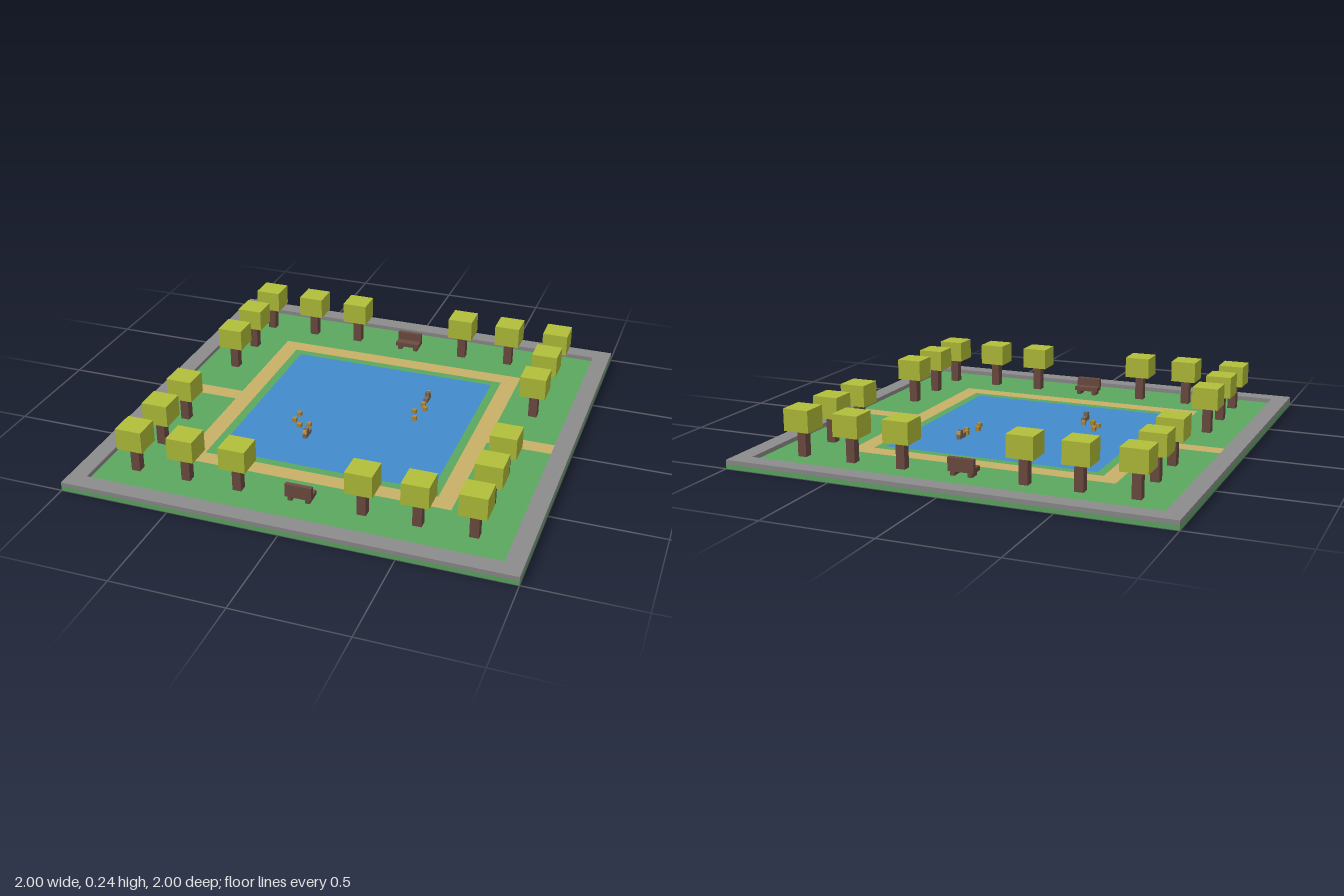
import * as THREE from 'three';

const paint = (name, color) => {
  const m = new THREE.MeshStandardMaterial({ color });
  m.name = name;
  return m;
};

export function createModel() {
  const grass = paint('grass', 0x5ca860);
  const sand = paint('sand', 0xc8b068);
  const water = paint('water', 0x428ccc);
  const stone = paint('stone', 0x8c8c8c);
  const wood = paint('wood', 0x6d4c41);
  const leaf = paint('leaf', 0xb2bf3a);
  const feather = paint('feather', 0x7d6a58);
  const down = paint('down', 0xb08a3c);
  const bill = paint('bill', 0xd0a050);

  const park = new THREE.Group();
  park.name = 'pondPark';

  const group = (name, x = 0, y = 0, z = 0) => {
    const g = new THREE.Group();
    g.name = name;
    g.position.set(x, y, z);
    park.add(g);
    return g;
  };
  // Box centred on x and z, standing on y
  const box = (parent, name, material, w, h, d, x, y, z) => {
    const mesh = new THREE.Mesh(new THREE.BoxGeometry(w, h, d), material);
    mesh.name = name;
    mesh.position.set(x, y + h / 2, z);
    parent.add(mesh);
  };

  // Flat slabs cut from outlines
  const square = (r) => [[-r, -r], [r, -r], [r, r], [-r, r]];
  const slab = (name, material, outline, hole, y) => {
    const points = (list) => list.map(([x, z]) => new THREE.Vector2(x, z));
    const shape = new THREE.Shape(points(outline));
    shape.holes.push(new THREE.Path(points(hole)));
    const geometry = new THREE.ExtrudeGeometry(shape, { depth: 0.02, bevelEnabled: false });
    const mesh = new THREE.Mesh(geometry.rotateX(-Math.PI / 2), material);
    mesh.name = name;
    mesh.position.y = y;
    park.add(mesh);
  };

  // Path loop with one arm on each side
  const pathOutline = [
    [-0.62, -0.62], [0.62, -0.62], [0.62, -0.04], [0.92, -0.04], [0.92, 0.04], [0.62, 0.04],
    [0.62, 0.62], [-0.62, 0.62], [-0.62, 0.04], [-0.92, 0.04], [-0.92, -0.04], [-0.62, -0.04],
  ];
  slab('lawn', grass, square(1), pathOutline, 0);
  slab('path', sand, pathOutline, square(0.54), 0);
  slab('pondBank', grass, square(0.54), square(0.5), 0);
  slab('curb', stone, square(1), square(0.92), 0.02);
  box(park, 'pond', water, 1, 0.02, 1, 0, 0, 0);

  // Trees around the lawn, leaving the path arms and benches clear
  const rows = [-0.76, -0.52, -0.28, 0.28, 0.52, 0.76];
  for (const x of rows) {
    for (const z of rows) {
      if (Math.max(Math.abs(x), Math.abs(z)) < 0.7) continue;
      const tree = group('tree', x, 0.02, z);
      box(tree, 'trunk', wood, 0.04, 0.12, 0.04, 0, 0, 0);
      box(tree, 'crown', leaf, 0.12, 0.1, 0.12, 0, 0.12, 0);
    }
  }

  // Benches facing the pond
  for (const side of [-1, 1]) {
    const bench = group('bench', 0, 0.02, side * 0.75);
    if (side > 0) bench.rotation.y = Math.PI;
    box(bench, 'seat', wood, 0.12, 0.02, 0.06, 0, 0.02, 0);
    box(bench, 'backrest', wood, 0.12, 0.04, 0.02, 0, 0.04, -0.02);
    for (const x of [-0.04, 0.04]) box(bench, 'leg', wood, 0.02, 0.02, 0.05, x, 0, 0);
  }

  // Ducks, each followed by four ducklings
  const families = [
    { x: -0.17, z: 0.25, turn: 0, young: [[-0.19, 0.17], [-0.23, 0.19], [-0.27, 0.15], [-0.27, 0.09]] },
    { x: 0.25, z: -0.25, turn: Math.PI, young: [[0.25, -0.19], [0.27, -0.15], [0.23, -0.11], [0.25, -0.05]] },
  ];
  for (const { x, z, turn, young } of families) {
    const duck = group('duck', x, 0.02, z);
    duck.rotation.y = turn;
    box(duck, 'body', feather, 0.02, 0.02, 0.06, 0, 0, 0);
    box(duck, 'head', feather, 0.02, 0.02, 0.02, 0, 0.02, 0.01);
    box(duck, 'bill', bill, 0.018, 0.016, 0.008, 0, 0.022, 0.024);
    for (const [dx, dz] of young) {
      box(group('duckling', dx, 0.02, dz), 'ducklingBody', down, 0.02, 0.02, 0.02, 0, 0, 0);
    }
  }
  return park;
}
